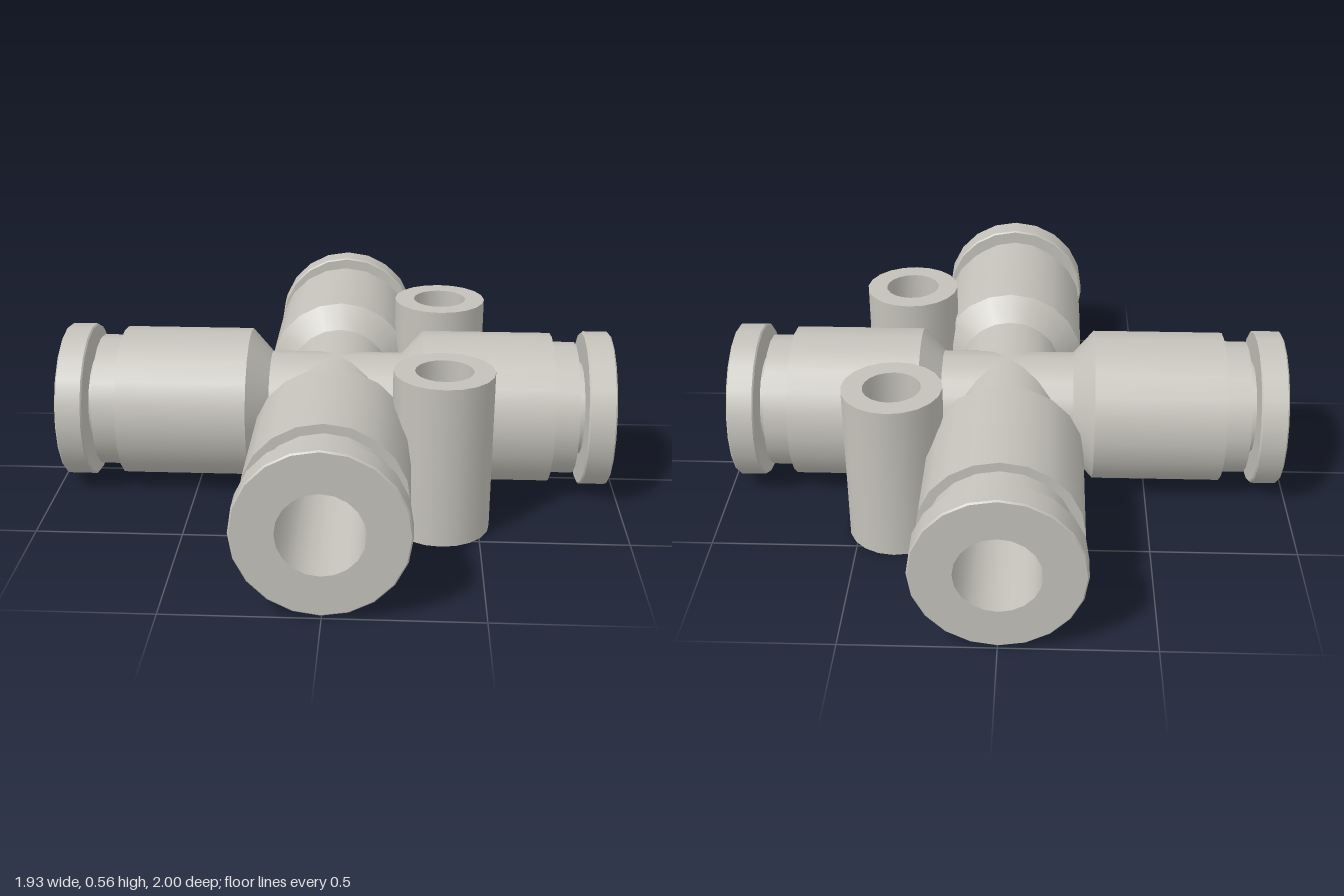
import * as THREE from 'three';
import { mergeGeometries } from 'three/addons/utils/BufferGeometryUtils.js';

const SEGMENTS = 20;
const AXIS_Y = 0.282;

// Revolve each profile span separately: smooth around the axis, sharp between spans
function revolve(profile) {
  const spans = [];
  for (let i = 0; i < profile.length - 1; i++) {
    const points = [profile[i], profile[i + 1]].map(([r, y]) => new THREE.Vector2(r, y));
    spans.push(new THREE.LatheGeometry(points, SEGMENTS));
  }
  return mergeGeometries(spans);
}

// Tube socket pointing along +y: pipe, cone, body, collar, neck, release ring, blind bore
function socketGeometry(inset) {
  const profile = [
    [0.187, 0], [0.187, 0.265], [0.267, 0.338], [0.267, 0.792],
    [0.236, 0.792], [0.236, 0.88], [0.165, 0.88], [0.165, 0.905],
    [0.27, 0.905], [0.275, 0.91], [0.275, 0.995], [0.27, 1],
    [0.137, 1], [0.137, 0.4], [0, 0.4],
  ];
  // Side sockets sit closer to the centre, but their pipes still start there
  return revolve(profile.map(([r, y]) => [r, y === 0 ? 0 : y - inset]));
}

export function createModel() {
  const model = new THREE.Group();
  model.name = 'crossFitting';

  const plastic = new THREE.MeshStandardMaterial({ color: 0xc3c1b9 });
  plastic.name = 'warm grey plastic';

  const add = (name, geometry, x, y, z) => {
    const mesh = new THREE.Mesh(geometry, plastic);
    mesh.name = name;
    mesh.position.set(x, y, z);
    model.add(mesh);
    return mesh;
  };

  // Four sockets in a cross
  const longSocket = socketGeometry(0);
  const shortSocket = socketGeometry(0.033);
  add('frontSocket', longSocket, -0.002, AXIS_Y, 0).rotation.x = Math.PI / 2;
  add('backSocket', longSocket, -0.002, AXIS_Y, 0).rotation.x = -Math.PI / 2;
  add('leftSocket', shortSocket, -0.002, AXIS_Y, 0).rotation.z = -Math.PI / 2;
  add('rightSocket', shortSocket, -0.002, AXIS_Y, 0).rotation.z = Math.PI / 2;

  // Two upright mounting sleeves with through holes
  const sleeve = revolve([[0.097, 0], [0.168, 0], [0.168, 0.561], [0.097, 0.561], [0.097, 0]]);
  add('frontSleeve', sleeve, 0.37, 0, 0.373);
  add('backSleeve', sleeve, 0.37, 0, -0.378);

  return model;
}
